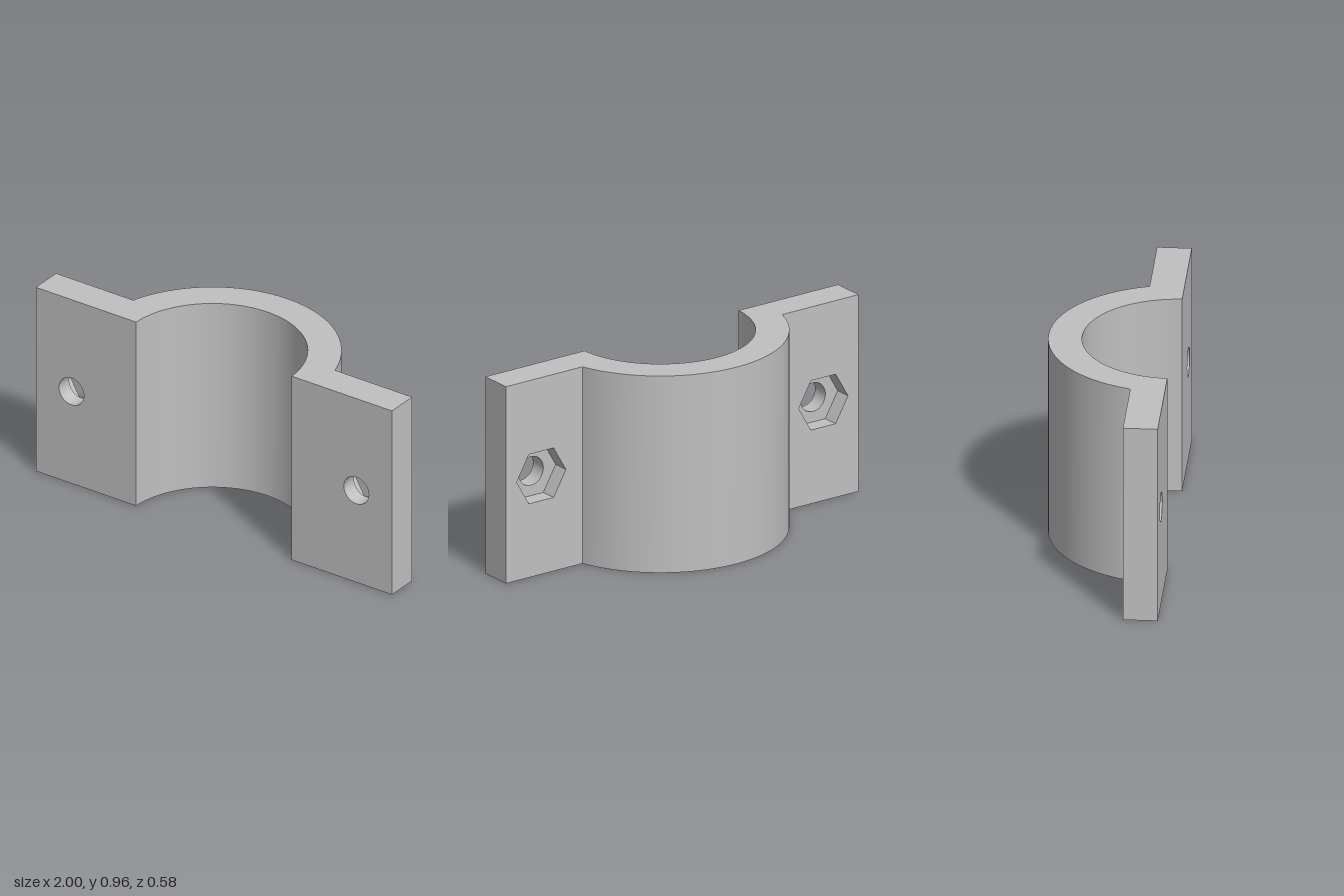
import * as THREE from 'three';
import { toCreasedNormals } from 'three/addons/utils/BufferGeometryUtils.js';

const H = 0.965;                          // clamp height
const FRONT = 0.29, BACK = 0.13;          // flange faces in z
const FLOOR = 0.21;                       // bottom of the nut pocket
const ARC_Z = 0.302, R_IN = 0.437, R_OUT = 0.592;
const HOLE_X = 0.8, HOLE_Y = H / 2, HOLE_R = 0.07, NUT_R = 0.14;

// Half-ring points [x, z], running from +x to -x and ending at depth z
function arc(r, z) {
  const t0 = Math.asin((ARC_Z - z) / r), n = 72, pts = [];
  for (let i = 0; i <= n; i++) {
    const t = t0 + (Math.PI - 2 * t0) * i / n;
    pts.push([r * Math.cos(t), ARC_Z - r * Math.sin(t)]);
  }
  return pts;
}

// Closed regular polygon [x, y] around a bolt axis
function ring(side, r, n) {
  return Array.from({ length: n + 1 }, (_, i) => {
    const t = i / n * Math.PI * 2;
    return [side * HOLE_X + r * Math.cos(t), HOLE_Y + r * Math.sin(t)];
  });
}

// Wall strip between two copies of a path
function wall(path, toA, toB) {
  const v = [];
  for (let i = 0; i + 1 < path.length; i++) {
    const a = toA(path[i]), b = toA(path[i + 1]), c = toB(path[i + 1]), d = toB(path[i]);
    v.push(...a, ...b, ...c, ...a, ...c, ...d);
  }
  const g = new THREE.BufferGeometry();
  g.setAttribute('position', new THREE.Float32BufferAttribute(v, 3));
  return toCreasedNormals(g, 0.5);
}
const upright = (path) => wall(path, ([x, z]) => [x, 0, z], ([x, z]) => [x, H, z]);
const bore = (path, z0, z1) => wall(path, ([x, y]) => [x, y, z0], ([x, y]) => [x, y, z1]);

// Flat face with an optional hole
function face(points, hole) {
  const vec = (list) => list.map(([x, y]) => new THREE.Vector2(x, y));
  const shape = new THREE.Shape(vec(points));
  if (hole) shape.holes.push(new THREE.Path(vec(hole.slice(0, -1))));
  return new THREE.ShapeGeometry(shape);
}

export function createModel() {
  const group = new THREE.Group();
  const grey = new THREE.MeshStandardMaterial({ color: 0xc0c0c0 });
  grey.name = 'grey';
  const add = (name, geometry) => {
    const mesh = new THREE.Mesh(geometry, grey);
    mesh.name = name;
    group.add(mesh);
    return mesh;
  };

  // Curved saddle
  const outer = arc(R_OUT, BACK), inner = arc(R_IN, FRONT).reverse();
  add('saddleOutside', upright(outer));
  add('saddleInside', upright(inner));

  // Top and bottom faces of the whole profile
  const profile = [[1, FRONT], [1, BACK], ...outer, [-1, BACK], [-1, FRONT], ...inner];
  add('topFace', face(profile.map(([x, z]) => [x, -z])).rotateX(-Math.PI / 2)).position.y = H;
  add('bottomFace', face(profile).rotateX(Math.PI / 2));

  // Flanges with bolt holes and hexagonal nut pockets
  const rect = (s, x) => [[s * x, 0], [s, 0], [s, H], [s * x, H]];
  const xFront = inner[inner.length - 1][0], xBack = outer[0][0];
  for (const [s, side] of [[1, 'left'], [-1, 'right']]) {
    const hole = ring(s, HOLE_R, 48), nut = ring(s, NUT_R, 6);
    add(side + 'FlangeEnd', upright(s > 0 ? [[1, FRONT], [1, BACK]] : [[-1, BACK], [-1, FRONT]]));
    add(side + 'FlangeFront', face(rect(s, xFront), hole)).position.z = FRONT;
    // Rear faces are drawn on the other side, then turned round
    add(side + 'FlangeBack', face(rect(-s, xBack), ring(-s, NUT_R, 6)).rotateY(Math.PI)).position.z = BACK;
    add(side + 'PocketFloor',
      face(ring(-s, NUT_R, 6).slice(0, -1), ring(-s, HOLE_R, 48)).rotateY(Math.PI)).position.z = FLOOR;
    add(side + 'BoltHole', bore(hole, FRONT, FLOOR));
    add(side + 'NutPocket', bore(nut, FLOOR, BACK));
  }
  return group;
}
